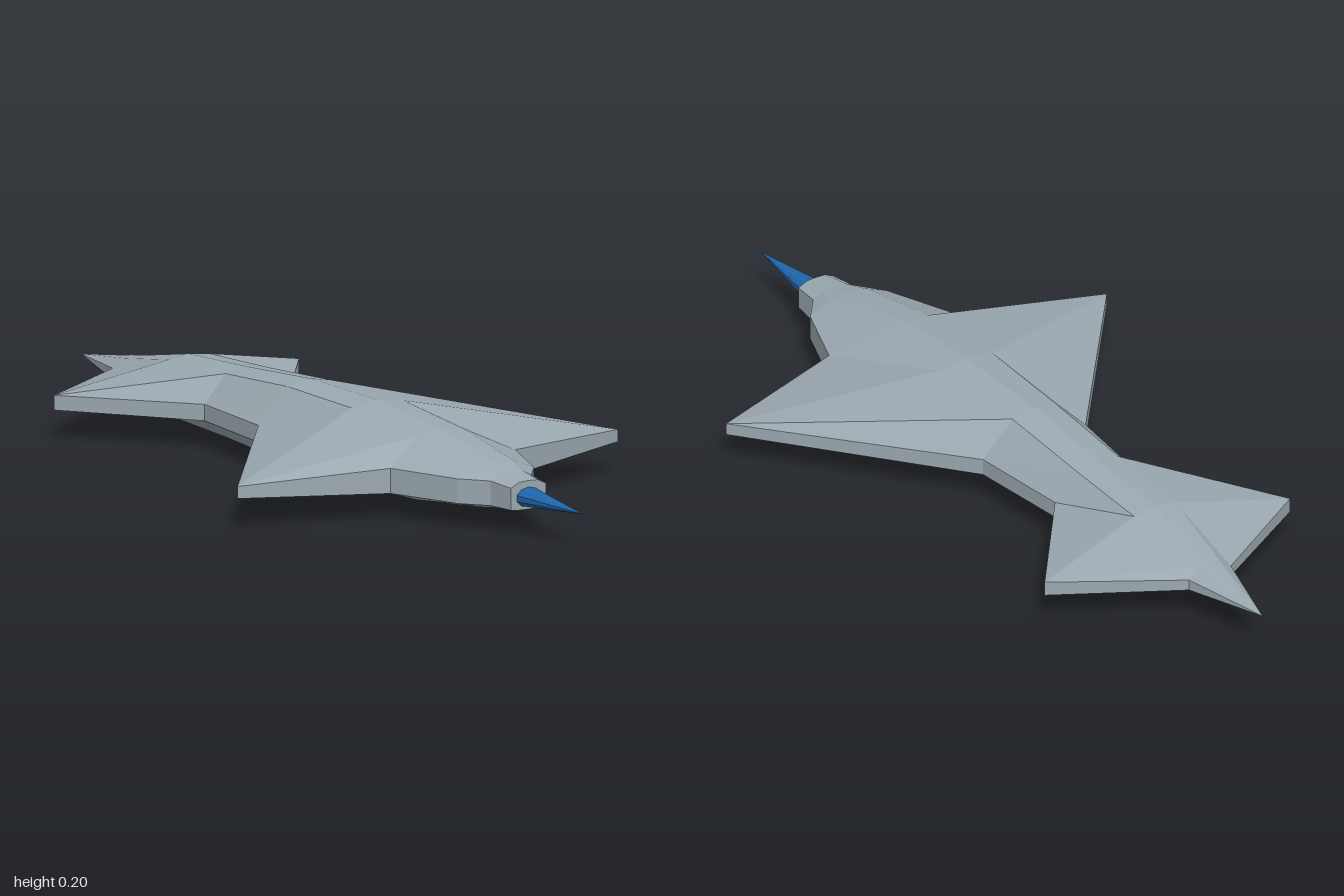
import * as THREE from 'three';

// Hull stations from front to back:
// [edge z, edge half-width, edge top, edge bottom, spine z, spine top, spine bottom, ridge half-width]
const STATIONS = [
  [0.78, 0.048, 0.122, 0.071, 0.78, 0.134, 0.068, 0.025],
  [0.71, 0.056, 0.127, 0.070, 0.71, 0.142, 0.061, 0.032],
  [0.65, 0.105, 0.127, 0.070, 0.65, 0.155, 0.052, 0.045],
  [0.48, 0.17, 0.128, 0.070, 0.43, 0.188, 0.027, 0.065],
  [0.38, 0.52, 0.112, 0.084, 0.18, 0.209, 0.012, 0.07],
  [-0.09, 0.14, 0.118, 0.079, -0.09, 0.209, 0.012, 0.06],
  [-0.34, 0.115, 0.117, 0.079, -0.34, 0.19, 0.028, 0.058],
  [-0.62, 0.335, 0.114, 0.080, -0.57, 0.177, 0.037, 0.056],
  [-0.79, 0.057, 0.110, 0.084, -0.78, 0.134, 0.072, 0.03],
];

// Ten-point ring, counter-clockwise seen from the front
function ring([ez, w, et, eb, sz, st, sb, r]) {
  const drop = (0.8 * r / w) * Math.min(0.2, w);
  const rt = st - (st - et) * Math.min(0.6, drop + 0.08);
  const rb = sb + (eb - sb) * Math.min(0.6, drop + 0.08);
  return [
    [w, et, ez], [r, rt, sz], [0, st, sz], [-r, rt, sz], [-w, et, ez],
    [-w, eb, ez], [-r, rb, sz], [0, sb, sz], [r, rb, sz], [w, eb, ez],
  ];
}

function hullGeometry() {
  const rings = STATIONS.map(ring);
  const n = rings[0].length;
  const pos = [];
  const tri = (a, b, c) => pos.push(...a, ...b, ...c);
  const noseCentre = [0, 0.097, 0.78];
  const tailTip = [0, 0.097, -1];
  for (let j = 0; j < n; j++) {
    const k = (j + 1) % n;
    // flat front cap and pointed tail
    tri(noseCentre, rings[0][j], rings[0][k]);
    tri(tailTip, rings.at(-1)[k], rings.at(-1)[j]);
    // skin between neighbouring stations
    for (let i = 0; i + 1 < rings.length; i++) {
      const a = rings[i], b = rings[i + 1];
      tri(a[j], b[j], b[k]);
      tri(a[j], b[k], a[k]);
    }
  }
  const geometry = new THREE.BufferGeometry();
  geometry.setAttribute('position', new THREE.Float32BufferAttribute(pos, 3));
  geometry.computeVertexNormals();
  return geometry;
}

export function createModel() {
  const group = new THREE.Group();

  // Faceted hull with main wings, waist and tail fins
  const hull = new THREE.Mesh(
    hullGeometry(),
    new THREE.MeshStandardMaterial({ color: 0x9ba8b0, flatShading: true })
  );
  hull.name = 'hull';
  group.add(hull);

  // Flattened blue nose spike
  const spikeGeometry = new THREE.ConeGeometry(1, 0.22, 10);
  spikeGeometry.rotateX(Math.PI / 2);
  spikeGeometry.scale(0.033, 0.023, 1);
  const spike = new THREE.Mesh(
    spikeGeometry,
    new THREE.MeshStandardMaterial({ color: 0x1f66aa, flatShading: true })
  );
  spike.name = 'noseSpike';
  spike.position.set(0, 0.096, 0.89);
  group.add(spike);

  return group;
}
